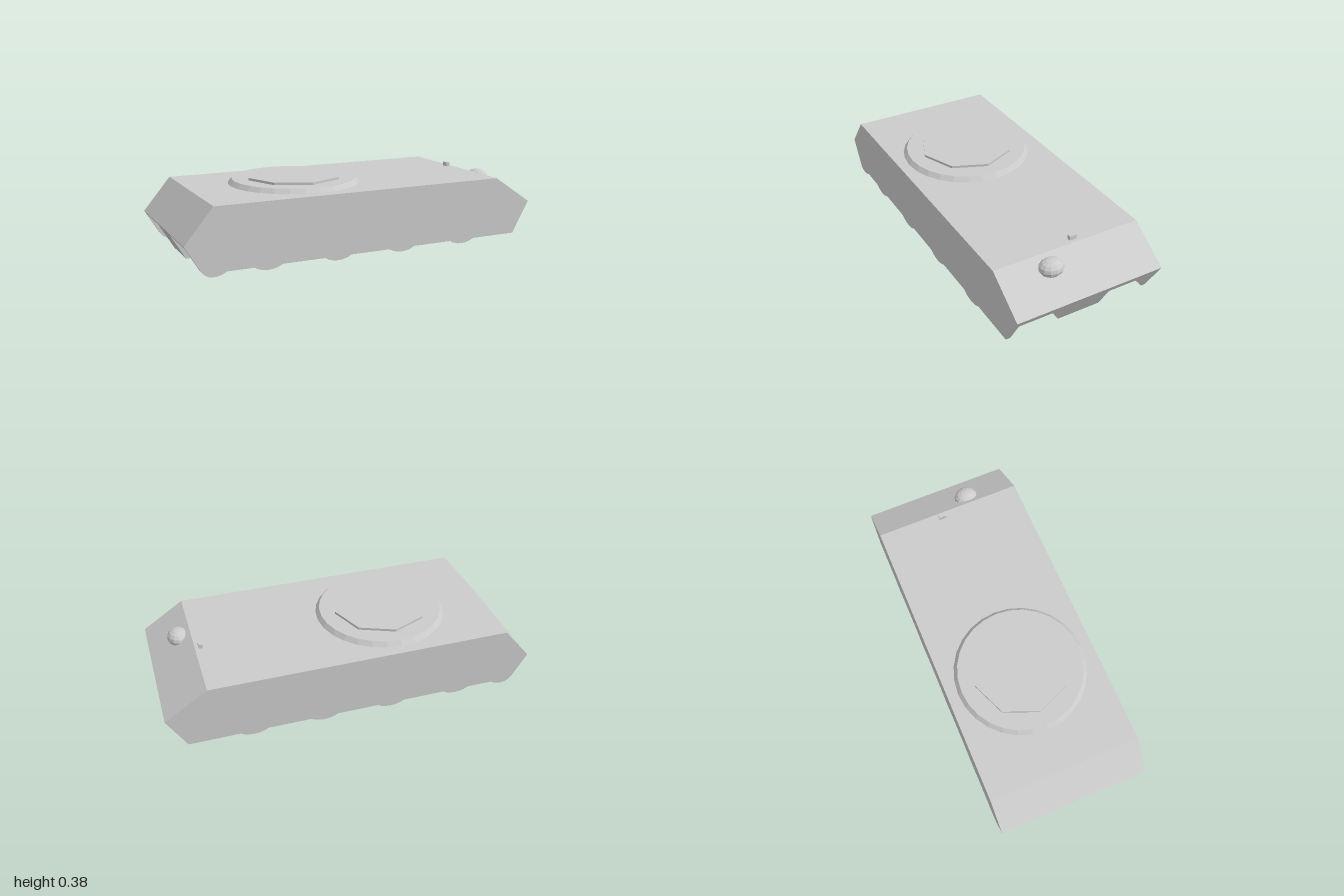
import * as THREE from 'three';

const material = new THREE.MeshStandardMaterial({ color: 0xcccccc, flatShading: true, side: THREE.DoubleSide });

function add(group, name, geometry, x = 0, y = 0, z = 0) {
  const mesh = new THREE.Mesh(geometry, material);
  mesh.name = name;
  mesh.position.set(x, y, z);
  group.add(mesh);
  return mesh;
}

// Extrude a side profile (x, y) across the width from z0 to z1
function slab(shape, z0, z1) {
  const geometry = new THREE.ExtrudeGeometry(shape, { depth: z1 - z0, bevelEnabled: false, curveSegments: 6 });
  return geometry.translate(0, 0, z0);
}

const points = (list) => list.map(([x, y]) => new THREE.Vector2(x, y));

export function createModel() {
  const group = new THREE.Group();
  group.name = 'armouredHull';

  const halfWidth = 0.415, skirtInner = 0.39, tubHalf = 0.12, bottom = 0.034;
  // Line where the upper hull meets the lower parts, also the roof of the track channels
  const ceiling = [[-0.991, 0.165], [-0.58, 0.13], [0.65, 0.13], [0.974, 0.165]];

  // Upper hull with sloped ends
  const upper = new THREE.Shape(points([
    ...ceiling, [1, 0.21], [0.775, 0.36], [-0.85, 0.36], [-1, 0.18],
  ]));
  add(group, 'upperHull', slab(upper, -halfWidth, halfWidth));

  // Central tub between the track channels
  const tub = new THREE.Shape(points([...ceiling].reverse().concat([[-0.914, bottom], [0.9, bottom]])));
  add(group, 'lowerTub', slab(tub, -tubHalf, tubHalf));

  // Side skirts with a rounded bulge below each wheel station
  const skirt = new THREE.Shape();
  skirt.moveTo(...ceiling[3]);
  skirt.lineTo(0.9, bottom);
  for (const x of [0.555, 0.175, -0.2, -0.58]) {
    skirt.lineTo(x + 0.075, bottom);
    skirt.bezierCurveTo(x + 0.035, 0.006, x - 0.035, 0.006, x - 0.075, bottom);
  }
  skirt.lineTo(-0.795, bottom);
  skirt.bezierCurveTo(-0.835, 0.006, -0.895, 0.002, -0.922, 0.048);
  for (const [x, y] of ceiling.slice(0, 3)) skirt.lineTo(x, y);
  skirt.closePath();
  add(group, 'leftSkirt', slab(skirt, skirtInner, halfWidth));
  add(group, 'rightSkirt', slab(skirt, -halfWidth, -skirtInner));

  // Turret ring and octagonal cover plate
  add(group, 'turretRing', new THREE.CylinderGeometry(0.337, 0.357, 0.025, 28), -0.27, 0.3725, 0);
  add(group, 'coverPlate', new THREE.CylinderGeometry(0.26, 0.26, 0.014, 8), -0.27, 0.391, 0);

  // Domed hatch on the sloped plate
  const dome = new THREE.SphereGeometry(1, 12, 8).scale(0.058, 0.045, 0.068);
  add(group, 'domedHatch', dome, 0.84, 0.319, 0.135);

  // Small vision block
  add(group, 'visionBlock', new THREE.BoxGeometry(0.02, 0.024, 0.04), 0.745, 0.371, -0.046);

  return group;
}
